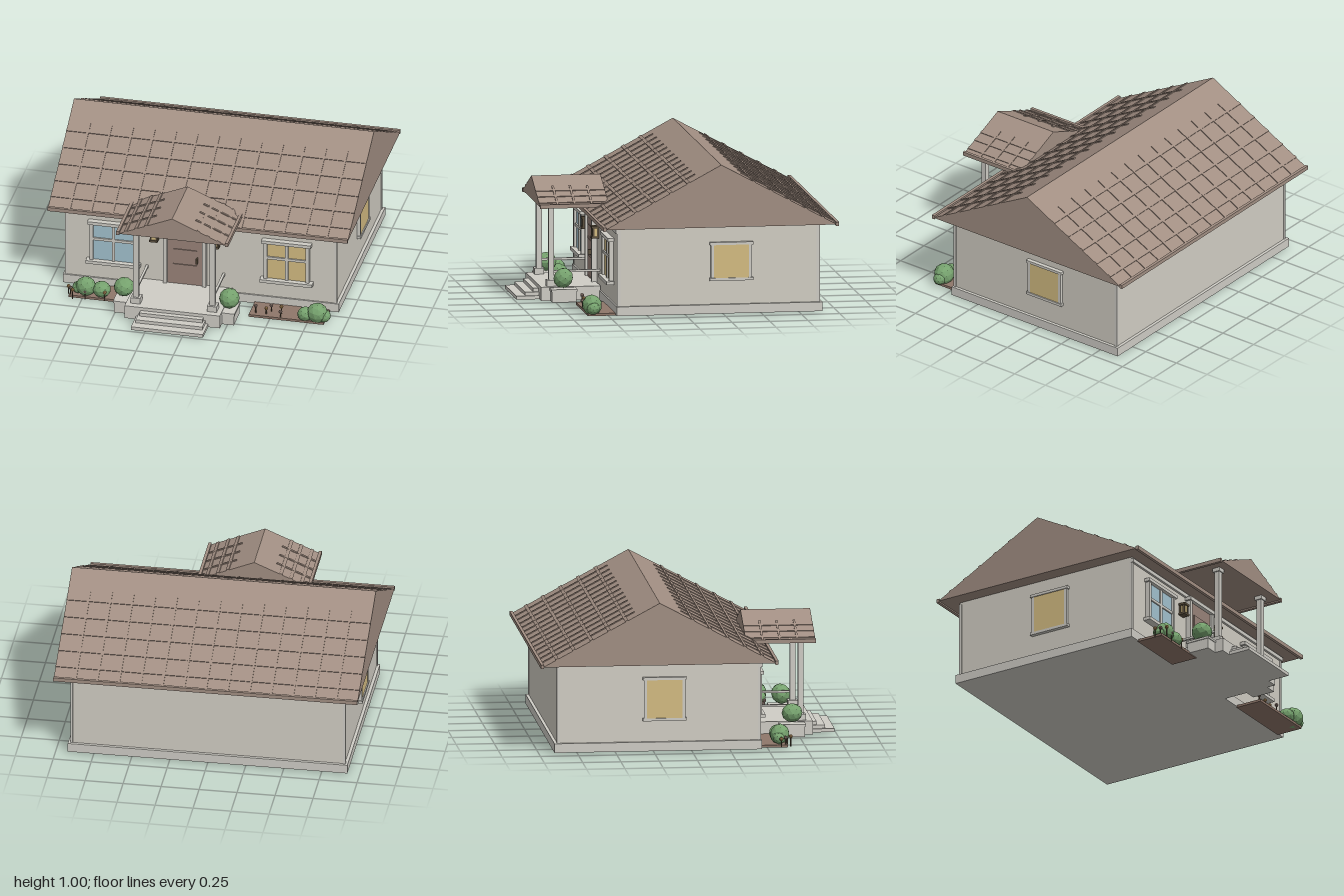
import * as THREE from 'three';

const mat = (name, color, flatShading = false) => {
  const m = new THREE.MeshStandardMaterial({ color });
  m.name = name;
  m.flatShading = flatShading;
  return m;
};

export function createModel() {
  const house = new THREE.Group();
  house.name = 'house';

  const wall = mat('wall', 0xd2cec4);
  const trim = mat('trim', 0xcfcdc6);
  const roofing = mat('roofing', 0xa28f83);
  const doorPaint = mat('doorPaint', 0x9a847a);
  const soil = mat('soil', 0x8f776a);
  const blueGlass = mat('blueGlass', 0xa3c3d0);
  const goldGlass = mat('goldGlass', 0xd4bc82);
  const leaf = mat('leaf', 0x76a26e, true);
  const iron = mat('iron', 0x5e5240);
  const petal = mat('petal', 0xb8925f, true);

  // box given by its extents on each axis
  const box = (parent, name, m, [x0, x1], [y0, y1], [z0, z1]) => {
    const mesh = new THREE.Mesh(new THREE.BoxGeometry(x1 - x0, y1 - y0, z1 - z0), m);
    mesh.position.set((x0 + x1) / 2, (y0 + y1) / 2, (z0 + z1) / 2);
    mesh.name = name;
    parent.add(mesh);
    return mesh;
  };
  const group = (name, x = 0, y = 0, z = 0, turn = 0) => {
    const g = new THREE.Group();
    g.name = name;
    g.position.set(x, y, z);
    g.rotation.y = turn;
    house.add(g);
    return g;
  };

  // foundation, walls and wall trim
  box(house, 'foundation', trim, [-0.92, 0.92], [0.015, 0.075], [-0.9, 0.455]);
  box(house, 'walls', wall, [-0.9, 0.9], [0.075, 0.6], [-0.88, 0.445]);
  box(house, 'fascia', trim, [-0.908, 0.908], [0.555, 0.58], [0.44, 0.46]);
  for (const s of [-1, 1]) for (const z of [-0.873, 0.44])
    box(house, 'cornerBoard', trim, [s * 0.898 - 0.008, s * 0.898 + 0.008], [0.075, 0.58], [z - 0.01, z + 0.01]);

  // gable roof: ridge along local z, raised battens on both slopes, gutters at the eaves
  function gableRoof(g, half, rise, length, rows, ribs, ribStart, gutter) {
    const shape = new THREE.Shape([
      new THREE.Vector2(-half, 0), new THREE.Vector2(half, 0), new THREE.Vector2(0, rise)]);
    const geo = new THREE.ExtrudeGeometry(shape, { depth: length, bevelEnabled: false });
    geo.translate(0, 0, -length / 2);
    const body = new THREE.Mesh(geo, roofing);
    body.name = 'roofBody';
    g.add(body);
    const angle = Math.atan2(rise, half), stretch = 1 / Math.cos(angle);
    for (const s of [-1, 1]) {
      const slope = new THREE.Group();
      slope.name = 'roofBattens';
      slope.position.y = rise;
      slope.rotation.z = -s * angle;
      g.add(slope);
      for (const d of rows) {
        const x = s * d * stretch;
        box(slope, 'rowBatten', roofing, [x - 0.011, x + 0.011], [-0.005, 0.005], [-length / 2, length / 2]);
      }
      const ends = [s * ribStart * stretch, s * (half - 0.012) * stretch].sort((a, b) => a - b);
      for (const z of ribs)
        box(slope, 'ribBatten', roofing, ends, [-0.006, 0.006], [z - 0.007, z + 0.007]);
      const e = s * (half + 0.003);
      box(g, 'gutter', roofing, [e - gutter / 2, e + gutter / 2], [-0.01, 0.016], [-length / 2, length / 2]);
    }
  }
  const mainRibs = [];
  for (let i = -6; i <= 6; i++) mainRibs.push(i * 0.143);
  gableRoof(group('mainRoof', 0, 0.595, -0.22, Math.PI / 2), 0.763, 0.41, 2,
    [0.215, 0.33, 0.445, 0.56, 0.67], mainRibs, 0.15, 0.02);
  gableRoof(group('porchRoof', -0.1, 0.64, 0.627), 0.36, 0.152, 0.455,
    [0.175, 0.24, 0.31], [-0.117, -0.005, 0.108], 0.13, 0.02);

  // window: glass pane, frame, header and sill, facing local +z
  function makeWindow(g, w, h, glass, crossed) {
    const a = w / 2, b = h / 2;
    box(g, 'pane', glass, [-a, a], [-b, b], [0, 0.014]);
    for (const s of [-1, 1])
      box(g, 'frameSide', trim, [s * a - 0.011, s * a + 0.011], [-b, b], [0, 0.03]);
    box(g, 'header', trim, [-a - 0.025, a + 0.025], [b - 0.004, b + 0.018], [0, 0.04]);
    box(g, 'sill', trim, [-a - 0.035, a + 0.035], [-b - 0.022, -b], [0, 0.05]);
    if (crossed) {
      box(g, 'mullion', trim, [-0.01, 0.01], [-b, b], [0, 0.024]);
      box(g, 'crossbar', trim, [-a, a], [0.01, 0.028], [0, 0.024]);
    }
  }
  makeWindow(group('frontWindowRight', -0.58, 0.348, 0.445), 0.29, 0.265, blueGlass, true);
  makeWindow(group('frontWindowLeft', 0.575, 0.348, 0.445), 0.28, 0.265, goldGlass, true);
  // side windows, with thin surrounds
  for (const [s, z, h] of [[1, -0.3, 0.235], [-1, -0.18, 0.27]]) {
    const g = group('sideWindow', s * 0.9, 0.358, z, s * Math.PI / 2), a = 0.125, b = h / 2;
    box(g, 'pane', goldGlass, [-a, a], [-b, b], [0, 0.02]);
    for (const t of [-1, 1]) {
      box(g, 'frameSide', trim, [t * a - 0.009, t * a + 0.009], [-b, b], [0, 0.022]);
      box(g, 'frameRail', trim, [-a - 0.018, a + 0.018], [t * b - 0.009, t * b + 0.009], [0, 0.027]);
    }
  }

  // front door
  const door = group('frontDoor', -0.103, 0, 0.445);
  box(door, 'doorLeaf', doorPaint, [-0.118, 0.118], [0.1, 0.535], [0, 0.02]);
  for (const [y0, y1] of [[0.375, 0.455], [0.265, 0.36], [0.12, 0.25]])
    box(door, 'doorPanel', doorPaint, [-0.08, 0.08], [y0, y1], [0.018, 0.026]);
  for (const s of [-1, 1])
    box(door, 'doorJamb', trim, [s * 0.13 - 0.012, s * 0.13 + 0.012], [0.1, 0.54], [0, 0.035]);
  box(door, 'doorHead', trim, [-0.155, 0.155], [0.535, 0.56], [0, 0.045]);
  box(door, 'doorHandle', iron, [0.078, 0.088], [0.275, 0.31], [0.018, 0.05]);

  // wall lanterns
  for (const x of [-0.308, 0.1]) {
    const g = group('lantern', x, 0.443, 0.445);
    box(g, 'lanternBack', iron, [-0.024, 0.024], [-0.038, 0.038], [0, 0.012]);
    box(g, 'lanternGlow', goldGlass, [-0.016, 0.016], [-0.028, 0.028], [0.01, 0.04]);
    for (const t of [-1, 1]) {
      box(g, 'lanternCap', iron, [-0.027, 0.027], [t * 0.034 - 0.007, t * 0.034 + 0.007], [0, 0.048]);
      box(g, 'lanternEdge', iron, [t * 0.019 - 0.005, t * 0.019 + 0.005], [-0.034, 0.034], [0.03, 0.043]);
    }
  }

  // porch slab, steps, planters, columns and rails
  box(house, 'porchSlab', trim, [-0.42, 0.215], [0.015, 0.105], [0.45, 0.84]);
  [[0.24, 0.99, 0.038], [0.222, 0.93, 0.06], [0.21, 0.875, 0.083]].forEach(([half, front, top]) =>
    box(house, 'step', trim, [-0.103 - half, -0.103 + half], [0.015, top], [0.8, front]));
  for (const s of [-1, 1]) {
    const px = -0.105 + s * 0.35, cx = -0.103 + s * 0.255;
    box(house, 'planter', trim, [px - 0.05, px + 0.05], [0.015, 0.085], [0.62, 0.78]);
    box(house, 'planterRim', trim, [px - 0.055, px + 0.055], [0.085, 0.1], [0.615, 0.785]);
    box(house, 'column', trim, [cx - 0.018, cx + 0.018], [0.1, 0.64], [0.747, 0.783]);
    box(house, 'columnBase', trim, [cx - 0.032, cx + 0.032], [0.1, 0.145], [0.733, 0.797]);
    box(house, 'columnCap', trim, [cx - 0.027, cx + 0.027], [0.615, 0.64], [0.738, 0.792]);
    box(house, 'porchRail', trim, [cx - 0.008, cx + 0.008], [0.192, 0.206], [0.445, 0.75]);
  }

  // garden beds
  box(house, 'gardenBedRight', soil, [-0.84, -0.42], [0.01, 0.026], [0.45, 0.635]);
  box(house, 'gardenBedLeft', soil, [0.36, 0.86], [0.01, 0.026], [0.45, 0.635]);

  // faceted bushes
  [[-0.455, 0.168, 0.7, 0.068], [0.247, 0.168, 0.7, 0.068],
    [-0.735, 0.08, 0.59, 0.068], [-0.63, 0.07, 0.59, 0.06], [-0.785, 0.062, 0.58, 0.042],
    [0.81, 0.075, 0.6, 0.07], [0.73, 0.058, 0.6, 0.053], [0.855, 0.06, 0.6, 0.045]
  ].forEach(([x, y, z, r], i) => {
    const bush = new THREE.Mesh(new THREE.IcosahedronGeometry(r, 1), leaf);
    bush.position.set(x, y, z);
    bush.rotation.set(i, i * 1.7, 0);
    bush.scale.y = 0.92;
    bush.name = 'bush';
    house.add(bush);
  });

  // small flowers on stems
  [[-0.85, 0.59], [-0.83, 0.62], [-0.81, 0.655], [-0.73, 0.64], [-0.6, 0.635],
    [0.4, 0.6], [0.47, 0.6], [0.495, 0.56], [0.565, 0.575], [0.57, 0.625]
  ].forEach(([x, z], i) => {
    const y = 0.063 + (i % 3) * 0.005;
    const stem = new THREE.Mesh(new THREE.CylinderGeometry(0.004, 0.004, y - 0.01, 5), iron);
    stem.position.set(x, (y + 0.01) / 2, z);
    stem.name = 'flowerStem';
    const head = new THREE.Mesh(new THREE.IcosahedronGeometry(0.014, 0), i % 2 ? doorPaint : petal);
    head.position.set(x, y + 0.004, z);
    head.name = 'flowerHead';
    house.add(stem, head);
  });

  return house;
}
